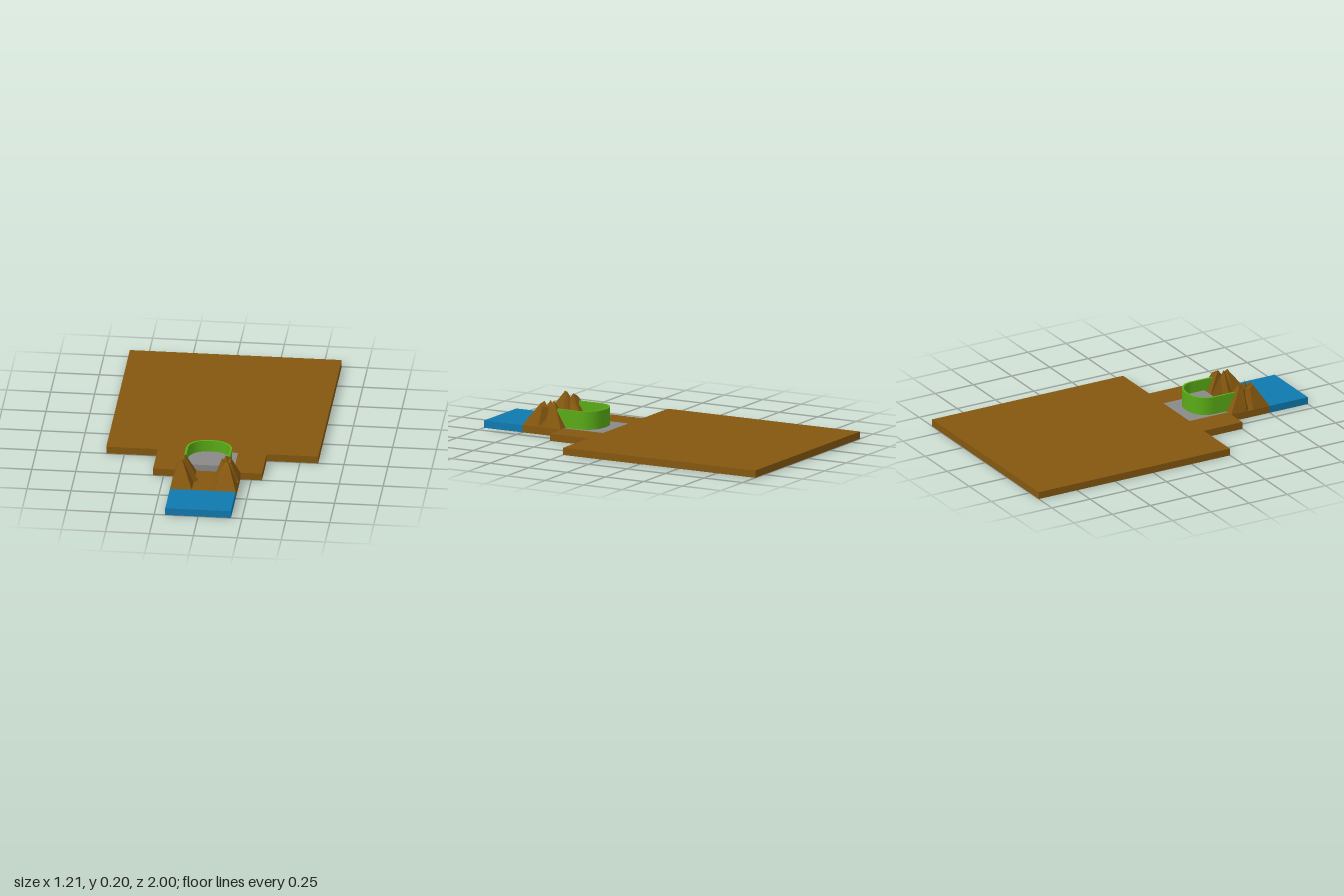
import * as THREE from 'three';

const TOP = 0.042;
const mat = (color, extra = {}) => new THREE.MeshStandardMaterial({ color, ...extra });

export function createModel() {
  const model = new THREE.Group();
  const earth = mat(0x85570f), water = mat(0x1079ae), stone = mat(0x898989);
  const rock = mat(0x85570f, { flatShading: true });
  const leaf = mat(0x59ab16);

  const add = (name, geometry, material) => {
    const mesh = new THREE.Mesh(geometry, material);
    mesh.name = name;
    model.add(mesh);
    return mesh;
  };

  // Flat ground tiles, given by their x and z limits
  const slab = (name, x0, x1, z0, z1, material) =>
    add(name, new THREE.BoxGeometry(x1 - x0, TOP, z1 - z0), material)
      .position.set((x0 + x1) / 2, TOP / 2, (z0 + z1) / 2);
  slab('mainField', -0.603, 0.603, -1, 0.249, earth);
  slab('terraceRight', -0.31, -0.147, 0.249, 0.5, earth);
  slab('terraceLeft', 0.147, 0.31, 0.249, 0.5, earth);
  slab('courtyard', -0.147, 0.147, 0.249, 0.5, stone);
  slab('pass', -0.187, 0.187, 0.5, 0.75, earth);
  slab('waterTile', -0.187, 0.187, 0.75, 1, water);

  // Arch-shaped outline: straight arms and a rounded back
  const arch = (halfWidth, back, front) => {
    const pts = [new THREE.Vector2(halfWidth, front)];
    for (let i = 0; i <= 28; i++) {
      const a = (i / 28) * Math.PI;
      const c = Math.cos(a), s = Math.sin(a);
      pts.push(new THREE.Vector2(
        halfWidth * Math.sign(c) * Math.abs(c) ** 0.9,
        0.425 - (0.425 - back) * s ** 0.9));
    }
    pts.push(new THREE.Vector2(-halfWidth, front));
    return pts;
  };
  // Extrude a plan outline (x, z) upwards from the ground
  const raise = (points, height) => {
    const g = new THREE.ExtrudeGeometry(new THREE.Shape(points), { depth: height, bevelEnabled: false });
    g.rotateX(Math.PI / 2);
    return g.translate(0, TOP + height, 0);
  };

  // Curved hedge wall around a raised stone floor
  const outer = arch(0.131, 0.311, 0.555), inner = arch(0.119, 0.323, 0.555);
  add('hedgeWall', raise([...outer, ...inner.reverse()], 0.104), leaf);
  add('raisedFloor', raise(arch(0.12, 0.322, 0.5), 0.037), stone);

  // Craggy hill: a ring of base points joined to a jagged ring of crests
  const hill = (name, side, base, crest, hollow) => {
    const n = base.length, pos = [], index = [];
    base.forEach(([x, z]) => pos.push(side * x, TOP, z));
    crest.forEach(([x, y, z]) => pos.push(side * x, y, z));
    pos.push(side * hollow[0], hollow[1], hollow[2]);
    const tri = (a, b, c) => (side > 0 ? index.push(a, b, c) : index.push(a, c, b));
    for (let i = 0; i < n; i++) {
      const j = (i + 1) % n;
      tri(j, i, n + i);
      tri(j, n + i, n + j);
      tri(2 * n, n + j, n + i);
    }
    const g = new THREE.BufferGeometry();
    g.setAttribute('position', new THREE.Float32BufferAttribute(pos, 3));
    g.setIndex(index);
    const flat = g.toNonIndexed();
    flat.computeVertexNormals();
    add(name, flat, rock);
  };
  // Front edge, inner spur, back edge, then the gully on the outer side
  const foot = [
    [0.187, 0.75], [0.063, 0.75], [0.063, 0.655], [0.04, 0.62], [0.063, 0.59],
    [0.063, 0.5], [0.187, 0.5], [0.187, 0.6], [0.168, 0.622], [0.187, 0.645],
  ];
  hill('hillRight', -1, foot, [
    [0.145, 0.178, 0.663], [0.132, 0.195, 0.65], [0.12, 0.165, 0.642], [0.113, 0.197, 0.63], [0.12, 0.16, 0.608],
    [0.117, 0.185, 0.59], [0.143, 0.168, 0.575], [0.148, 0.16, 0.6], [0.138, 0.1, 0.62], [0.15, 0.16, 0.64],
  ], [0.128, 0.15, 0.622]);
  hill('hillLeft', 1, foot, [
    [0.138, 0.168, 0.66], [0.115, 0.18, 0.645], [0.112, 0.15, 0.635], [0.097, 0.187, 0.615], [0.11, 0.155, 0.602],
    [0.112, 0.187, 0.585], [0.139, 0.168, 0.563], [0.143, 0.155, 0.595], [0.132, 0.09, 0.62], [0.143, 0.155, 0.645],
  ], [0.122, 0.145, 0.618]);

  return model;
}
